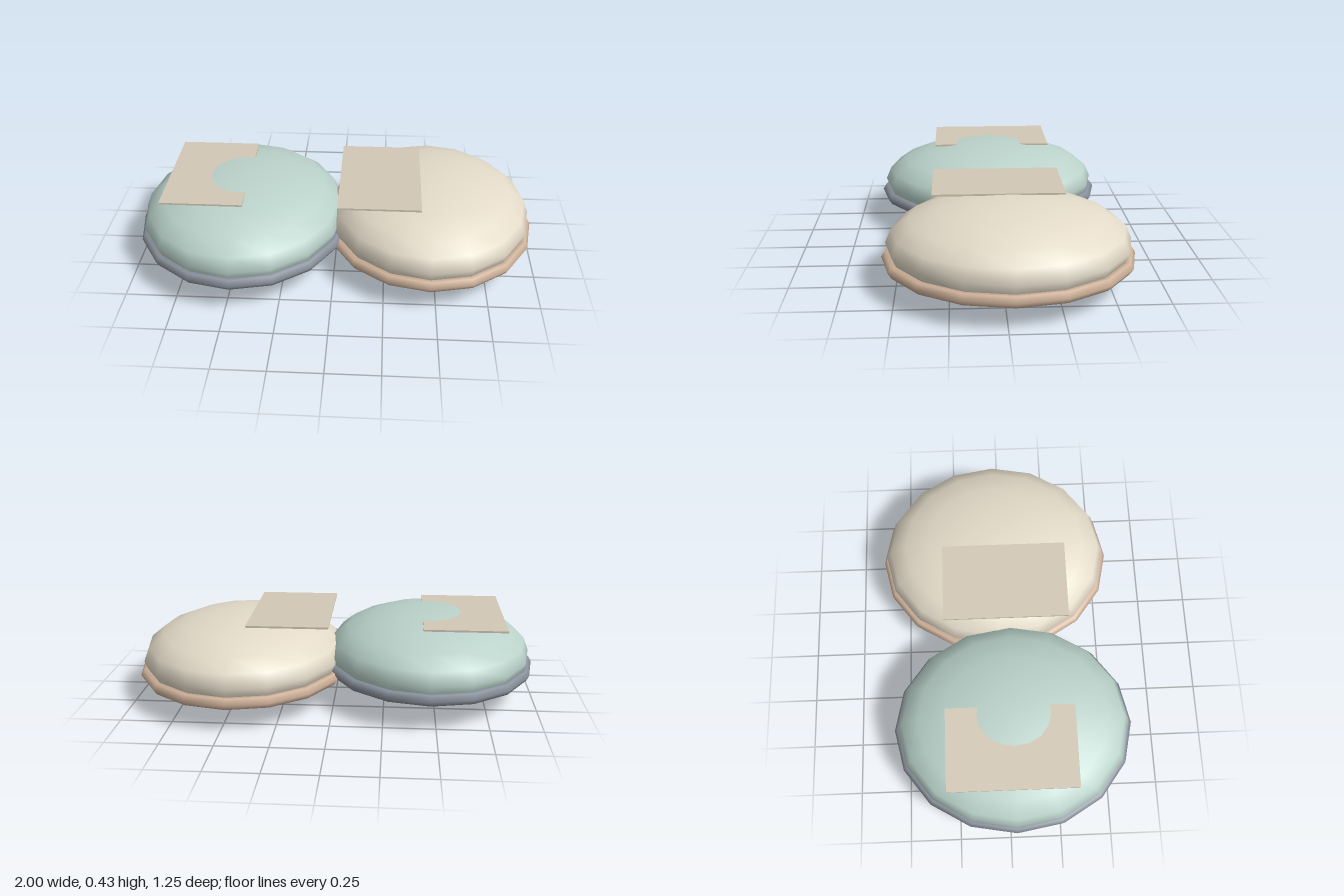
import * as THREE from 'three';

const mat = (name, color) => {
  const m = new THREE.MeshStandardMaterial({ color });
  m.name = name;
  return m;
};

export function createModel() {
  const root = new THREE.Group();
  root.name = 'pebblePair';
  const plateMat = mat('sand', 0xd3c8b6);

  const add = (parent, name, geometry, material, x, y, z) => {
    const mesh = new THREE.Mesh(geometry, material);
    mesh.name = name;
    mesh.position.set(x, y, z);
    parent.add(mesh);
    return mesh;
  };

  // One half: flattened oval body, a rim around its lower part, a thin plate on top
  const half = (name, x, y, z, bodyMat, rimMat, rimY, plateX) => {
    const group = new THREE.Group();
    group.name = name;
    root.add(group);

    const body = add(group, 'body', new THREE.SphereGeometry(1, 16, 10), bodyMat, x, y, z);
    body.scale.set(0.51, 0.21, 0.575);

    const rimGeo = new THREE.TorusGeometry(0.5, 0.03, 6, 16).rotateX(Math.PI / 2);
    const rim = add(group, 'rim', rimGeo, rimMat, x, rimY, z);
    rim.scale.z = 1.125;

    add(group, 'topPlate', new THREE.BoxGeometry(0.4, 0.009, 0.625), plateMat, plateX, 0.417, 0.014);
  };

  half('rightHalf', -0.47, 0.222, 0.03, mat('pale teal', 0xbad2ca), mat('slate', 0x8a929c), 0.16, -0.635);
  half('leftHalf', 0.47, 0.21, -0.03, mat('cream', 0xe3dac8), mat('warm tan', 0xcfb29a), 0.14, 0.22);

  return root;
}
